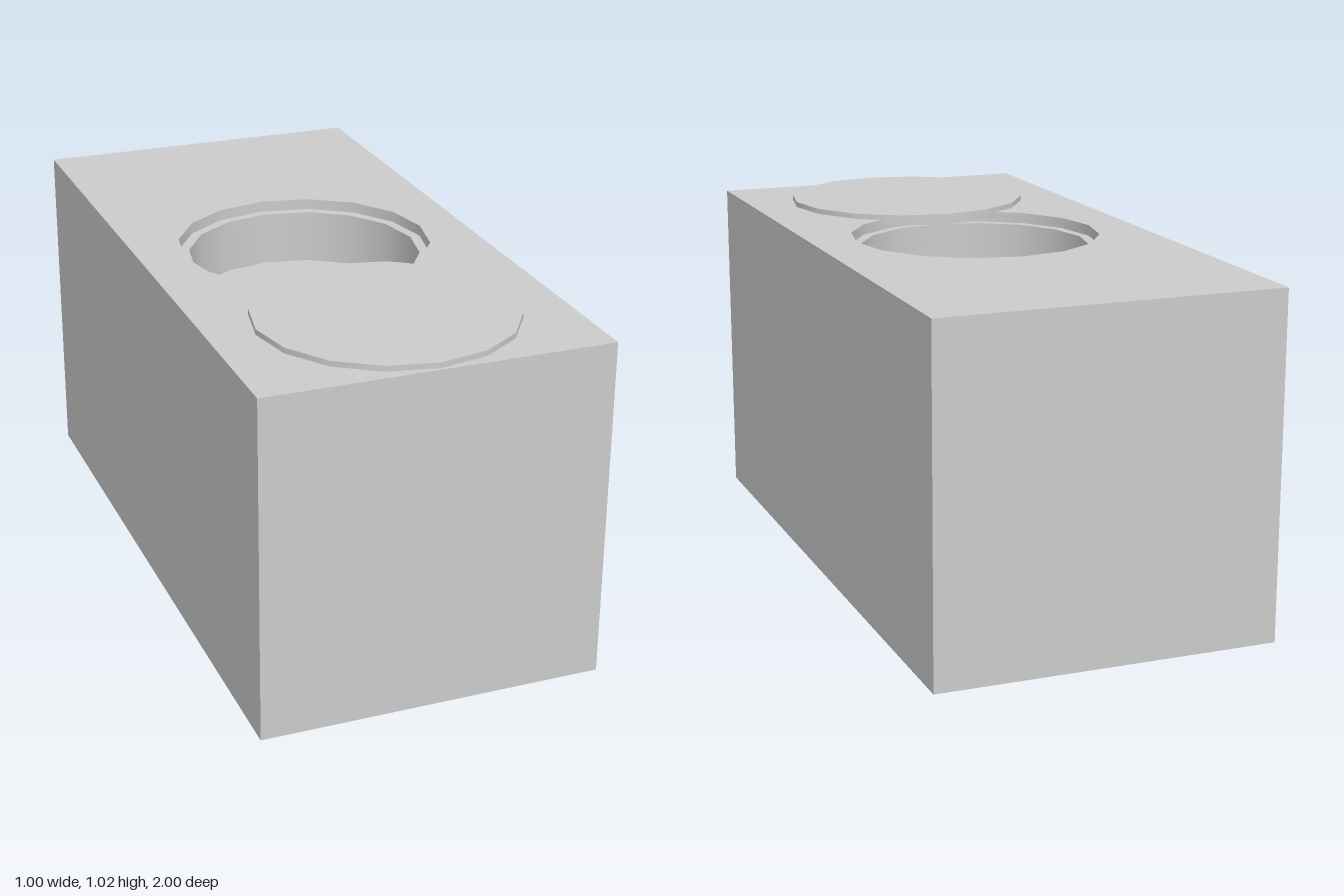
import * as THREE from 'three';

const SIDES = 16;
const WIDTH = 1, HEIGHT = 1, LENGTH = 2;
const RIM_R = 0.37, WELL_R = 0.34;
const LEDGE_Y = 0.968, FLOOR_Y = 0.81;

export function createModel() {
  const group = new THREE.Group();
  const grey = new THREE.MeshStandardMaterial({ color: 0xcccccc });
  const inside = new THREE.MeshStandardMaterial({ color: 0xcccccc, side: THREE.BackSide });

  const add = (name, geometry, y = 0, z = 0, material = grey) => {
    const mesh = new THREE.Mesh(geometry, material);
    mesh.name = name;
    mesh.position.set(0, y, z);
    group.add(mesh);
  };
  const flat = (geometry) => geometry.rotateX(-Math.PI / 2);
  // Inward-facing wall of the opening between two heights
  const wall = (name, r, y0, y1) =>
    add(name, new THREE.CylinderGeometry(r, r, y1 - y0, SIDES, 1, true), (y0 + y1) / 2, 0, inside);

  // Block sides and base: a box without its top face
  const box = new THREE.BoxGeometry(WIDTH, HEIGHT, LENGTH);
  const index = Array.from(box.index.array);
  index.splice(12, 6);
  box.setIndex(index);
  box.clearGroups();
  add('block', box, HEIGHT / 2);

  // Block top with the round opening
  const w = WIDTH / 2, l = LENGTH / 2;
  const top = new THREE.Shape([[-w, -l], [w, -l], [w, l], [-w, l]].map(([x, y]) => new THREE.Vector2(x, y)));
  const rim = [];
  for (let i = 0; i < SIDES; i++) {
    const a = (i / SIDES) * Math.PI * 2;
    rim.push(new THREE.Vector2(Math.cos(a) * RIM_R, Math.sin(a) * RIM_R));
  }
  top.holes.push(new THREE.Path(rim));
  add('blockTop', flat(new THREE.ShapeGeometry(top)), HEIGHT);

  // Stepped well: lid recess, ledge, inner wall and floor
  wall('recessWall', RIM_R, LEDGE_Y, HEIGHT);
  add('ledge', flat(new THREE.RingGeometry(WELL_R, RIM_R, SIDES)), LEDGE_Y);
  wall('wellWall', WELL_R, FLOOR_Y, LEDGE_Y);
  add('wellFloor', flat(new THREE.CircleGeometry(WELL_R, SIDES)), FLOOR_Y);

  // Round lid slid forward off the opening
  add('lid', new THREE.CylinderGeometry(RIM_R, RIM_R, 0.032, SIDES), HEIGHT, 0.62);

  return group;
}
